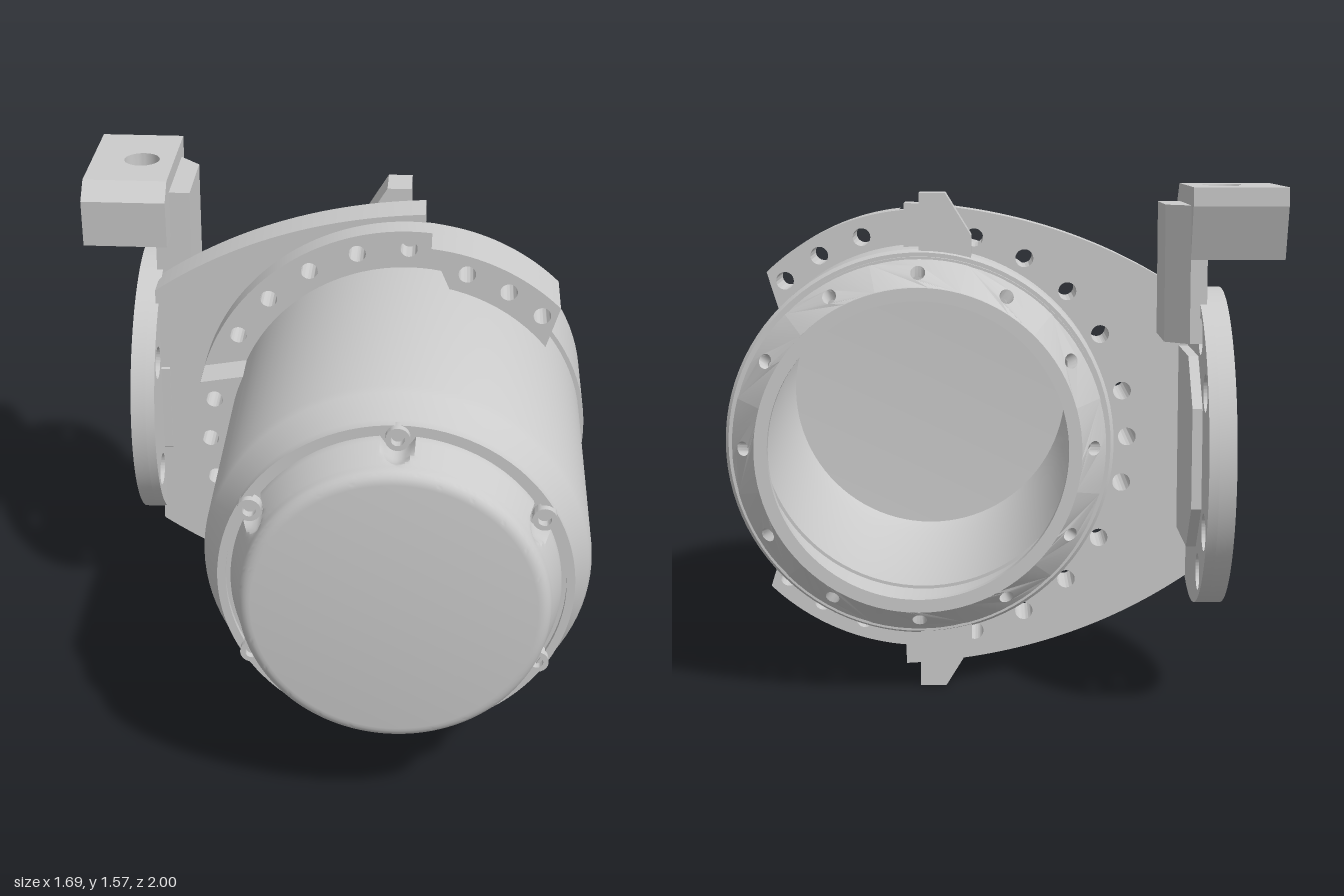
import * as THREE from 'three';
import { toCreasedNormals } from 'three/addons/utils/BufferGeometryUtils.js';

const CX = 0.24, CY = 0.77, DEG = Math.PI / 180;
const mat = new THREE.MeshStandardMaterial({ color: 0xcccccc, side: THREE.DoubleSide });
const V = (x, y) => new THREE.Vector2(x, y);

export function createModel() {
  const model = new THREE.Group();
  const add = (name, geo, x = 0, y = 0, z = 0, parent = model) => {
    const m = new THREE.Mesh(toCreasedNormals(geo, 0.5), mat);
    m.name = name;
    m.position.set(x, y, z);
    parent.add(m);
    return m;
  };
  const hole = (shape, x, y, r) => {
    shape.holes.push(new THREE.Path().absarc(x, y, r, 0, Math.PI * 2, true));
    return shape;
  };
  const extrude = (shape, depth, curveSegments = 32) =>
    new THREE.ExtrudeGeometry(shape, { depth, bevelEnabled: false, curveSegments });
  // revolve [radius, z] points about the z axis
  const revolve = (pts, seg = 96) =>
    new THREE.LatheGeometry(pts.map(p => V(p[0], p[1])), seg).rotateX(Math.PI / 2);

  // barrel with chamfered front end, hollow from behind
  add('barrel', revolve([
    [0, 0.8], [0.5, 0.78], [0.53, 0.7], [0.53, -0.15], [0.585, -0.15], [0.585, 0.705],
    [0.575, 0.73], [0.53, 0.815], [0.53, 0.85], [0.505, 0.85], [0.505, 0.835], [0, 0.835],
  ]), CX, CY);
  add('rearSleeve', revolve([
    [0.55, -0.15], [0.6, -0.15], [0.6, -0.49], [0.59, -0.5], [0.54, -0.5], [0.54, -0.15],
  ]), CX, CY);

  // front cap, with six scallops pressed into its wall for the screws
  const capPts = [[0.49, 0.83]];
  for (let i = 0; i <= 10; i++) capPts.push([0.49 - 0.032 * i / 10, 0.85 + 0.011 * i]);
  for (let i = 1; i <= 6; i++) {
    const a = i * 15 * DEG;
    capPts.push([0.418 + 0.04 * Math.cos(a), 0.96 + 0.04 * Math.sin(a)]);
  }
  capPts.push([0, 1]);
  const cap = revolve(capPts, 240);
  const p = cap.attributes.position;
  for (let i = 0; i < p.count; i++) {
    const r = Math.hypot(p.getX(i), p.getY(i)), z = p.getZ(i);
    if (r < 0.3) continue;
    const ang = Math.atan2(p.getY(i), p.getX(i)) - 30 * DEG;
    const off = ang - Math.round(ang / (60 * DEG)) * 60 * DEG;
    const round = 0.048 * Math.sqrt(Math.max(0, 1 - Math.max(0, (z - 0.9) / 0.08) ** 2));
    const t = round * round - (0.495 * off) ** 2;
    if (t <= 0) continue;
    const k = Math.min(1, (0.495 - Math.sqrt(t)) / r);
    p.setXY(i, p.getX(i) * k, p.getY(i) * k);
  }
  add('frontCap', cap, CX, CY);

  // cap screws
  for (let i = 0; i < 6; i++) {
    const a = (30 + 60 * i) * DEG;
    add('capScrew', revolve([
      [0, 0.845], [0.02, 0.845], [0.02, 0.872], [0.036, 0.872], [0.036, 0.83],
    ], 20), CX + 0.495 * Math.cos(a), CY + 0.495 * Math.sin(a));
  }

  // tapered rear ring: a pierced strip per 30 degrees, bent round a cone
  const ring = new THREE.Group();
  ring.name = 'rearRing';
  ring.position.set(CX, CY, 0);
  model.add(ring);
  for (let s = 0; s < 12; s++) {
    const pts = [], n = 8, half = 15 * DEG;
    for (let i = 0; i <= n; i++) pts.push(V(-half + 2 * half * i / n, 0));
    for (let i = n; i >= 0; i--) pts.push(V(-half + 2 * half * i / n, 0.09));
    const strip = new THREE.Shape(pts);
    strip.holes.push(new THREE.Path().absellipse(0, 0.045, 0.042, 0.022, 0, Math.PI * 2, true));
    const g = extrude(strip, 0.03, 8), q = g.attributes.position;
    for (let i = 0; i < q.count; i++) {
      const a = q.getX(i) + s * 30 * DEG, h = q.getY(i), r = 0.545 - h * 0.9 + q.getZ(i);
      q.setXYZ(i, r * Math.cos(a), r * Math.sin(a), -0.55 - h);
    }
    add('taperedWall', g, 0, 0, 0, ring);
  }
  const band = (r0, r1, z0, z1) => revolve([[r0, z0], [r1, z0], [r1, z1], [r0, z1], [r0, z0]]);
  add('frontLip', band(0.54, 0.58, -0.535, -0.552), 0, 0, 0, ring);
  add('rearLip', band(0.455, 0.495, -0.635, -0.665), 0, 0, 0, ring);

  // arc-shaped flanges with bolt holes; inner and outer ends may differ in angle
  const boltAngles = [48, 60, 73, 90, 105, 120, 135, 150, 167, 180, 193, 210, 225, 240, 255, 270, 287, 300, 312];
  const boltHoles = (shape, a0, a1) => {
    for (const a of boltAngles) if (a > a0 && a < a1)
      hole(shape, 0.65 * Math.cos(a * DEG), 0.65 * Math.sin(a * DEG), 0.028);
    return shape;
  };
  const flange = (name, i0, o0, o1, i1, zBack, zFront) => {
    const s = new THREE.Shape();
    s.absarc(0, 0, 0.71, o0 * DEG, o1 * DEG, false);
    s.absarc(0, 0, 0.575, i1 * DEG, i0 * DEG, true);
    s.closePath();
    add(name, extrude(boltHoles(s, o0, o1), zFront - zBack, 64), CX, CY, zBack);
  };
  flange('middleFlange', 39, 46, 314, 321, -0.23, -0.145);
  flange('upperLug', 39, 46, 84, 76, -0.145, -0.015);
  flange('lowerLug', 284, 276, 314, 321, -0.145, -0.015);
  flange('sideLug', 156, 163, 197, 204, -0.145, 0.02 - 0.04);

  // bracket plate reaching from the barrel to the side disc
  const br = new THREE.Shape();
  br.moveTo(0.05, 0.735);
  br.quadraticCurveTo(-0.46, 0.71, -0.85, 0.44);
  br.lineTo(-0.85, -0.44);
  br.quadraticCurveTo(-0.46, -0.71, 0.05, -0.735);
  br.lineTo(0.05, -0.588);
  br.absarc(0, 0, 0.59, -85 * DEG, 85 * DEG - Math.PI * 2, true);
  br.closePath();
  add('bracketPlate', extrude(boltHoles(br, 95, 265), 0.13, 64), CX, CY, -0.36);

  // hooked stops above and below the sleeve
  for (const s of [1, -1]) {
    const stop = new THREE.Shape([V(-0.16, 0.56), V(-0.16, 0.64), V(-0.08, 0.77), V(0, 0.77), V(0, 0.56)]
      .map(v => V(v.x, v.y * s)));
    add(s > 0 ? 'upperStop' : 'lowerStop', extrude(stop, 0.13), CX, CY, -0.495);
  }

  // side disc: pierced floor, raised rim and centre pad, in the y-z plane
  const sideways = (name, shape, xMin, xMax) =>
    add(name, extrude(shape, xMax - xMin, 48).rotateY(-Math.PI / 2), xMax, CY, -0.515);
  const circle = r => new THREE.Shape().absarc(0, 0, r, 0, Math.PI * 2, false);
  const floor = circle(0.485);
  for (const a of [30, 60, 120, 150, 210, 240, 300, 330])
    hole(floor, 0.41 * Math.cos(a * DEG), 0.41 * Math.sin(a * DEG), 0.055);
  sideways('discFloor', floor, -0.63, -0.6);
  sideways('discRim', hole(circle(0.485), 0, 0, 0.466), -0.68, -0.63);
  sideways('discPad', new THREE.Shape([
    V(-0.29, -0.15), V(-0.15, -0.29), V(0.15, -0.29), V(0.29, -0.15),
    V(0.29, 0.15), V(0.15, 0.29), V(-0.15, 0.29), V(-0.29, 0.15)]), -0.65, -0.57);

  // upright arm with a bevelled rear corner; shapes here are in x and -z
  const upright = (shape, h) => extrude(shape, h, 24).rotateX(-Math.PI / 2);
  add('arm', upright(new THREE.Shape([
    V(-0.62, 0.36), V(-0.5, 0.36), V(-0.5, 0.63), V(-0.57, 0.7), V(-0.62, 0.7)]), 0.41), 0, 1.1, 0);

  // clamp block in two layers, each tapered along z, with a vertical bolt hole
  const layer = (name, y, h, r, front, back) => {
    const s = new THREE.Shape([V(-0.85, 0.26), V(-0.57, 0.26), V(-0.57, 0.76), V(-0.85, 0.76)]);
    const g = upright(hole(s, -0.68, 0.52, r), h), q = g.attributes.position;
    for (let i = 0; i < q.count; i++) {
      const k = q.getY(i) > h / 2 ? 1 : 0, z = q.getZ(i);
      if (z > -0.27) q.setZ(i, front[k]);
      if (z < -0.75) q.setZ(i, back[k]);
    }
    add(name, g, 0, y, 0);
  };
  layer('clampBlockLower', 1.35, 0.16, 0.035, [-0.27, -0.26], [-0.7, -0.76]);
  layer('clampBlockUpper', 1.51, 0.055, 0.06, [-0.26, -0.32], [-0.76, -0.76]);

  return model;
}
